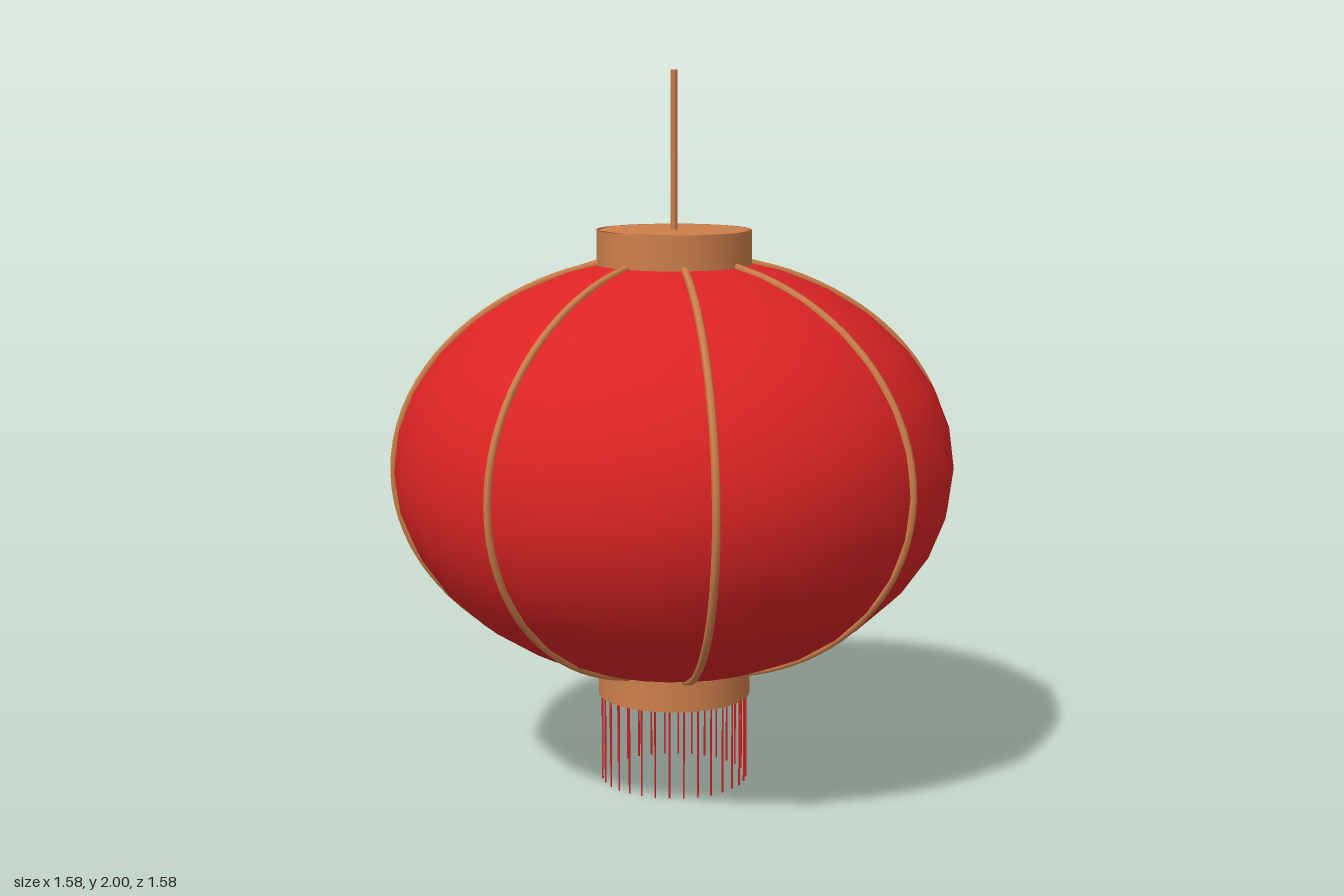
import * as THREE from 'three';

export function createModel() {
  const model = new THREE.Group();
  const red = new THREE.MeshStandardMaterial({ color: 0xdc2424 });
  red.name = 'red silk';
  const bronze = new THREE.MeshStandardMaterial({ color: 0xcd7f4a, side: THREE.DoubleSide });
  bronze.name = 'bronze';

  const R = 0.78, H = 0.59, CY = 0.905, CAP = 0.215;

  const add = (name, geometry, material, y = 0, parent = model) => {
    const mesh = new THREE.Mesh(geometry, material);
    mesh.name = name;
    mesh.position.y = y;
    parent.add(mesh);
    return mesh;
  };

  // Squashed round shade
  const shade = new THREE.SphereGeometry(R, 32, 16);
  shade.scale(1, H / R, 1);
  add('shade', shade, red, CY);

  // Eight thin ribs bowed from cap to cap
  const points = [];
  const start = Math.asin(0.2 / R);
  for (let i = 0; i <= 16; i++) {
    const a = start + (Math.PI - 2 * start) * i / 16;
    points.push(new THREE.Vector3(R * Math.sin(a), CY + H * Math.cos(a), 0));
  }
  const ribGeometry = new THREE.TubeGeometry(new THREE.CatmullRomCurve3(points), 40, 0.011, 6);
  const ribs = new THREE.Group();
  ribs.name = 'ribs';
  model.add(ribs);
  for (let i = 0; i < 8; i++) {
    add('rib', ribGeometry, bronze, 0, ribs).rotation.y = i * Math.PI / 4;
  }

  // Round collars, each closed by an octagonal plate
  const collar = new THREE.CylinderGeometry(CAP, CAP, 0.1, 32, 1, true);
  const plate = new THREE.CircleGeometry(CAP, 8);
  add('topCollar', collar, bronze, 1.515);
  add('topPlate', plate, bronze, 1.565).rotation.x = -Math.PI / 2;
  add('bottomCollar', collar, bronze, 0.3);
  add('bottomPlate', plate, bronze, 0.25).rotation.x = Math.PI / 2;

  // Hanging rod
  add('hangingRod', new THREE.CylinderGeometry(0.01, 0.01, 0.44, 6), bronze, 1.78);

  // Fringe of fine threads around the lower collar
  const fringe = new THREE.Group();
  fringe.name = 'fringe';
  model.add(fringe);
  const threadGeometry = new THREE.CylinderGeometry(0.003, 0.003, 0.25, 4);
  for (let i = 0; i < 32; i++) {
    const a = i * Math.PI / 16;
    const thread = add('fringeThread', threadGeometry, red, 0.125, fringe);
    thread.position.x = 0.205 * Math.cos(a);
    thread.position.z = 0.205 * Math.sin(a);
  }
  return model;
}
